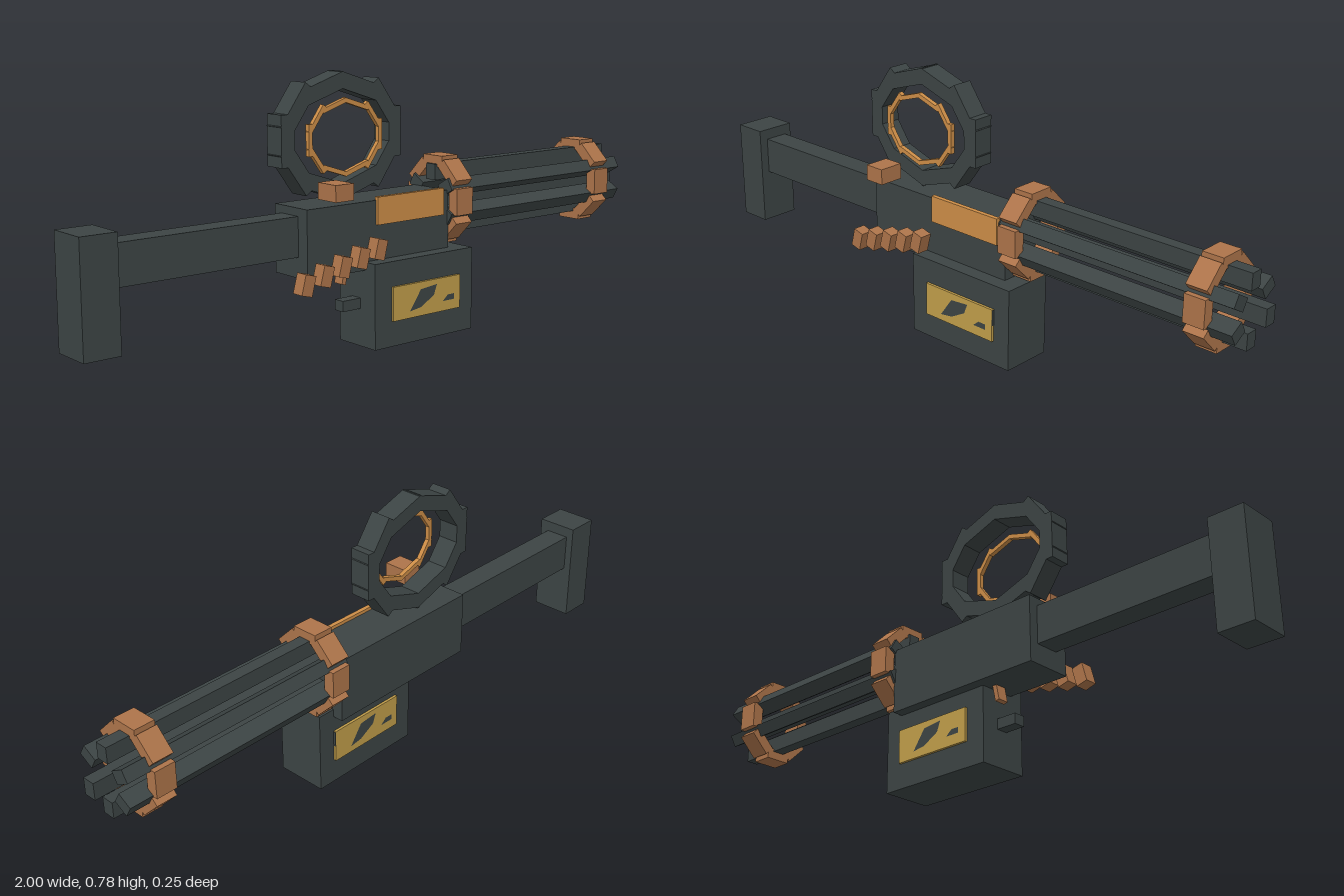
import * as THREE from 'three';

const mat = (name, color) => {
  const m = new THREE.MeshStandardMaterial({ color });
  m.name = name;
  return m;
};

export function createModel() {
  const model = new THREE.Group();
  const steel = mat('dark steel', 0x3c4444);
  const copper = mat('copper', 0xad744a);
  const orange = mat('orange brass', 0xcc8d47);
  const yellow = mat('yellow label', 0xc09d4a);

  // Box given by its limits on each axis
  function box(name, m, [x0, x1], [y0, y1], [z0, z1], parent = model) {
    const mesh = new THREE.Mesh(new THREE.BoxGeometry(x1 - x0, y1 - y0, z1 - z0), m);
    mesh.position.set((x0 + x1) / 2, (y0 + y1) / 2, (z0 + z1) / 2);
    mesh.name = name;
    parent.add(mesh);
    return mesh;
  }

  // Ring of straight blocks on an ellipse in the local xy plane
  function blockRing(name, m, count, rx, ry, thick, length, depth) {
    const ring = new THREE.Group();
    ring.name = name;
    const geo = new THREE.BoxGeometry(thick, length, depth);
    for (let i = 0; i < count; i++) {
      const a = (i / count) * Math.PI * 2;
      const block = new THREE.Mesh(geo, m);
      block.name = name + 'Block';
      block.position.set(rx * Math.cos(a), ry * Math.sin(a), 0);
      block.rotation.z = a;
      ring.add(block);
    }
    model.add(ring);
    return ring;
  }

  // Stock and receiver
  box('buttPlate', steel, [-1, -0.895], [0.117, 0.43], [-0.083, 0.043]);
  box('stock', steel, [-0.9, -0.32], [0.283, 0.397], [-0.06, 0.015]);
  box('receiver', steel, [-0.325, 0.2], [0.224, 0.42], [-0.09, 0.055]);
  box('sidePanel', orange, [-0.08, 0.175], [0.35, 0.43], [0.05, 0.064]);
  box('sideKnob', copper, [-0.283, -0.22], [0.444, 0.491], [0.05, 0.127]);

  // Ammunition box with a peg at the back
  box('ammoBox', steel, [-0.122, 0.256], [0, 0.248], [-0.057, 0.1]);
  box('ammoPeg', steel, [-0.187, -0.12], [0.11, 0.141], [0, 0.036]);

  // Label plates with dark scratches, one on each side of the ammunition box
  const scratches = [
    [[-0.069, -0.03], [-0.027, 0.029], [0.036, 0.035], [0.024, 0.004], [-0.027, -0.024]],
    [[0.06, -0.02], [0.08, -0.003], [0.105, -0.003], [0.105, -0.02]],
  ].map(pts => new THREE.Shape(pts.map(p => new THREE.Vector2(...p))));
  for (const side of [1, -1]) {
    const label = new THREE.Group();
    label.name = side > 0 ? 'frontLabel' : 'backLabel';
    label.position.set(0.07, 0.125, side > 0 ? 0.1 : -0.057);
    if (side < 0) label.rotation.y = Math.PI;
    box('labelPlate', yellow, [-0.13, 0.13], [-0.05, 0.05], [-0.001, 0.008], label);
    const marks = new THREE.Mesh(new THREE.ShapeGeometry(scratches), steel);
    marks.name = 'labelScratches';
    marks.position.z = 0.0095;
    label.add(marks);
    box('labelEdge', steel, side > 0 ? [0.13, 0.131] : [-0.131, -0.13], [0, 0.048], [0, 0.008], label);
    model.add(label);
  }

  // Belt of cartridges and the trigger
  for (let i = 0; i < 5; i++) {
    const x = -0.36 + i * 0.064, y = 0.224 + i * 0.0163;
    box('cartridge', copper, [x - 0.018, x + 0.018], [y - 0.029, y + 0.029], [0.068, 0.107])
      .rotation.z = -0.26;
  }
  box('trigger', copper, [-0.154, -0.14], [0.177, 0.245], [-0.035, 0]).rotation.z = -0.2;

  // Large sight ring with a thin inner ring on its front
  blockRing('sightRing', steel, 10, 0.19, 0.143, 0.045, 0.144, 0.065)
    .position.set(-0.165, 0.605, -0.018);
  blockRing('innerSightRing', orange, 10, 0.124, 0.095, 0.013, 0.088, 0.014)
    .position.set(-0.165, 0.603, 0.021);

  // Seven square barrels
  const axisY = 0.386, axisZ = -0.017;
  box('centreBarrel', steel, [0.19, 1], [0.362, 0.412], [axisZ - 0.019, axisZ + 0.019]);
  for (let i = 0; i < 6; i++) {
    const a = (i / 6) * Math.PI * 2;
    const y = axisY + 0.082 * Math.cos(a), z = axisZ + 0.072 * Math.sin(a);
    box('barrel', steel, [0.195, 0.953], [y - 0.024, y + 0.024], [z - 0.019, z + 0.019])
      .rotation.x = a;
  }

  // Copper bands around the barrels
  for (const x of [0.235, 0.85]) {
    const band = blockRing('barrelBand', copper, 8, 0.09, 0.114, 0.034, 0.08, 0.064);
    band.position.set(x, axisY, axisZ);
    band.rotation.y = Math.PI / 2;
  }
  return model;
}
